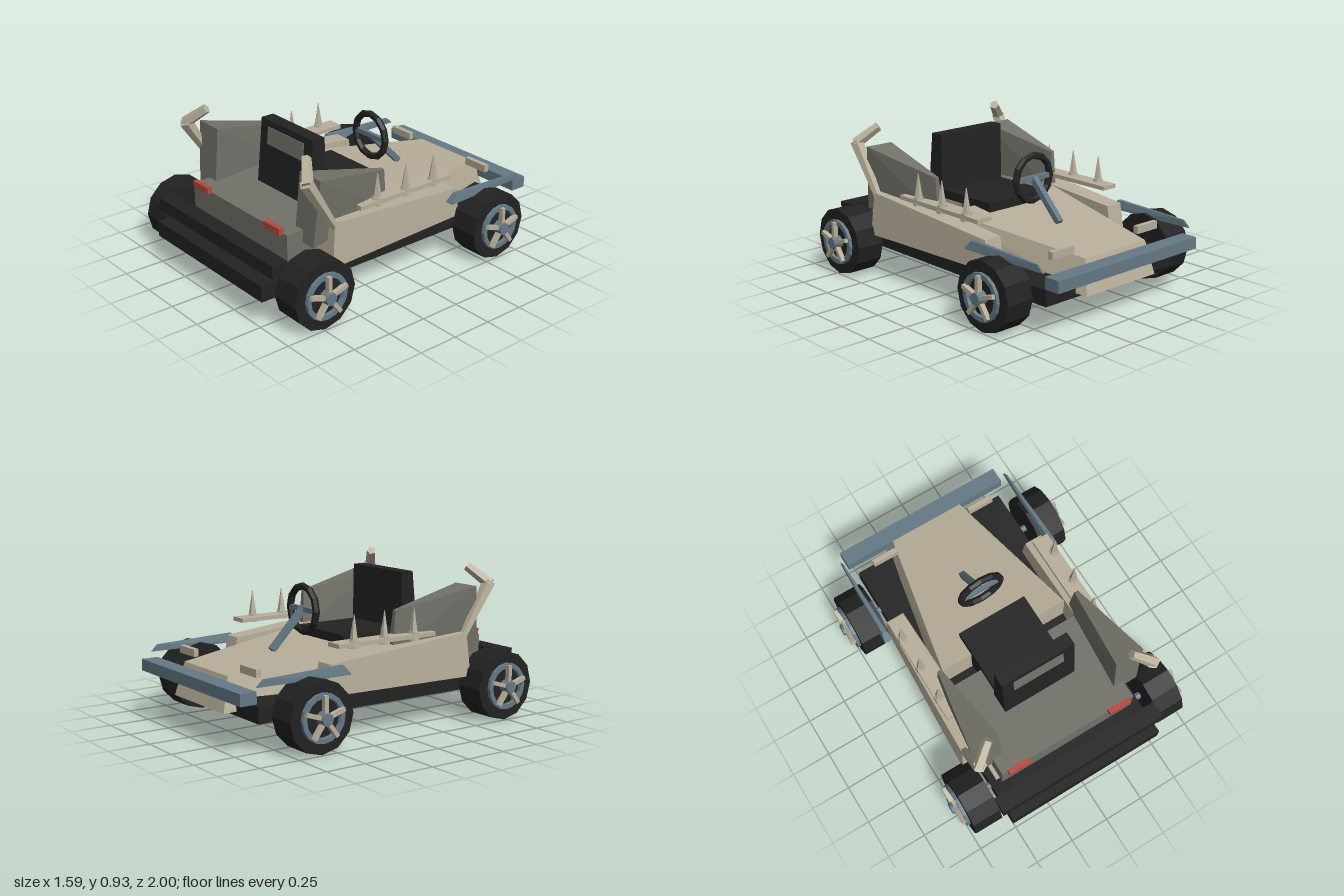
import * as THREE from 'three';
import { ConvexGeometry } from 'three/addons/geometries/ConvexGeometry.js';

export function createModel() {
  const model = new THREE.Group();
  const mat = (name, color) => {
    const m = new THREE.MeshStandardMaterial({ color, flatShading: true });
    m.name = name;
    return m;
  };
  const bone = mat('bone', 0xb8af9a);
  const grey = mat('grey', 0x72726a);
  const black = mat('black', 0x222222);
  const steel = mat('steel blue', 0x647985);
  const red = mat('red', 0xb54a40);

  const add = (name, geo, material, parent = model) => {
    const mesh = new THREE.Mesh(geo, material);
    mesh.name = name;
    parent.add(mesh);
    return mesh;
  };
  // Box given by its extents on each axis
  const box = (name, material, [x0, x1], [y0, y1], [z0, z1]) => {
    const lo = Math.min(x0, x1), hi = Math.max(x0, x1);
    const geo = new THREE.BoxGeometry(hi - lo, y1 - y0, z1 - z0);
    geo.translate((lo + hi) / 2, (y0 + y1) / 2, (z0 + z1) / 2);
    return add(name, geo, material);
  };
  // Faceted solid from its corners, optionally mirrored by s
  const hull = (name, material, corners, s = 1) =>
    add(name, new ConvexGeometry(corners.map(([x, y, z]) => new THREE.Vector3(s * x, y, z))), material);
  // Tapered rod between two points
  const rod = (name, material, a, b, r0, r1, sides) => {
    const p = new THREE.Vector3(...a), q = new THREE.Vector3(...b);
    const d = q.clone().sub(p);
    const mesh = add(name, new THREE.CylinderGeometry(r1, r0, d.length(), sides), material);
    mesh.position.copy(p).add(q).multiplyScalar(0.5);
    mesh.quaternion.setFromUnitVectors(new THREE.Vector3(0, 1, 0), d.normalize());
    return mesh;
  };

  // Chassis and bumpers
  box('chassis', black, [-0.52, 0.52], [0.165, 0.262], [-0.86, 1]);
  box('tailBumper', black, [-0.56, 0.56], [0.305, 0.385], [0.85, 0.955]);
  box('noseBumper', steel, [-0.565, 0.565], [0.29, 0.36], [-1, -0.897]);

  // Tapered nose and tail body
  hull('nose', bone, [-1, 1].flatMap((s) => [
    [s * 0.245, 0.385, -0.885], [s * 0.28, 0.185, -0.935],
    [s * 0.43, 0.485, 0.05], [s * 0.46, 0.255, 0.05],
  ]));
  box('tailFloor', bone, [-0.48, 0.48], [0.262, 0.3], [0.17, 0.74]);
  box('tailBody', grey, [-0.457, 0.457], [0.3, 0.473], [0.16, 0.775]);

  // Seat with tapered backrest and inset panel
  box('seatCushion', black, [-0.23, 0.23], [0.3, 0.525], [-0.09, 0.36]);
  hull('seatBack', black, [-1, 1].flatMap((s) => [
    [s * 0.243, 0.868, 0.337], [s * 0.243, 0.868, 0.42],
    [s * 0.243, 0.46, 0.33], [s * 0.243, 0.46, 0.462],
  ]));
  const panel = add('seatPanel', new THREE.BoxGeometry(0.336, 0.106, 0.008), grey);
  panel.position.set(-0.002, 0.777, 0.431);
  panel.rotation.x = -0.103;

  // Steering
  const steering = add('steeringWheel', new THREE.TorusGeometry(0.137, 0.022, 6, 12), black);
  steering.position.set(0, 0.665, -0.215);
  box('steeringSpoke', steel, [-0.13, 0.13], [0.65, 0.68], [-0.23, -0.205]);
  const column = rod('steeringColumn', steel, [0, 0.665, -0.22], [0, 0.44, -0.44], 0.026, 0.026, 4);
  column.rotateY(Math.PI / 4);

  for (const s of [-1, 1]) {
    // Side pod
    hull('sidePod', bone, [
      [0.43, 0.53, 0.55], [0.595, 0.53, 0.55], [0.43, 0.265, 0.575], [0.61, 0.265, 0.575],
      [0.44, 0.445, -0.41], [0.555, 0.445, -0.41], [0.44, 0.265, -0.44], [0.56, 0.265, -0.44],
    ], s);

    // Spiked rail
    box('spikeRail', bone, [s * 0.46, s * 0.565], [0.528, 0.553], [-0.358, 0.337]);
    for (const z of [-0.235, -0.02, 0.195]) {
      rod('spikeBase', bone, [s * 0.537, 0.515, z], [s * 0.537, 0.565, z], 0.035, 0.03, 6);
      rod('spike', bone, [s * 0.537, 0.555, z], [s * 0.537, 0.71, z], 0.027, 0.002, 5);
    }

    // Wedge-shaped rear fin
    hull('rearFin', grey, [
      [0.46, 0.69, 0.1], [0.485, 0.69, 0.1], [0.44, 0.44, 0.08], [0.485, 0.44, 0.08],
      [0.395, 0.798, 0.635], [0.58, 0.798, 0.635], [0.39, 0.4, 0.67], [0.555, 0.4, 0.67],
    ], s);

    // Bent horn
    rod('hornLower', bone, [s * 0.575, 0.48, 0.525], [s * 0.58, 0.815, 0.735], 0.022, 0.042, 5);
    rod('hornUpper', bone, [s * 0.59, 0.805, 0.735], [s * 0.475, 0.908, 0.652], 0.036, 0.03, 5);

    // Rail from pod to nose bumper
    hull('frontRail', steel, [
      [0.57, 0.39, -0.315], [0.627, 0.39, -0.315], [0.585, 0.445, -0.36], [0.615, 0.445, -0.36],
      [0.592, 0.39, -0.92], [0.602, 0.39, -0.92], [0.592, 0.43, -0.877], [0.602, 0.43, -0.877],
    ], s);

    // Lamps
    box('noseLamp', bone, [s * 0.26, s * 0.43], [0.4, 0.445], [-0.815, -0.783]);
    box('tailLamp', red, [s * 0.275, s * 0.42], [0.465, 0.505], [0.77, 0.802]);

    // Wheels: local +y points outwards
    for (const z of [0.735, -0.594]) {
      const wheel = new THREE.Group();
      wheel.name = 'wheel';
      wheel.position.set(s * 0.65, 0.208, z);
      wheel.rotation.z = -s * Math.PI / 2;
      model.add(wheel);
      add('tyre', new THREE.CylinderGeometry(0.207, 0.207, 0.18, 12), black, wheel);
      const rim = [[0.108, 0.085], [0.142, 0.085], [0.14, 0.11], [0.112, 0.11], [0.108, 0.085]];
      add('rim', new THREE.LatheGeometry(rim.map((p) => new THREE.Vector2(...p)), 16), steel, wheel);
      add('hub', new THREE.CylinderGeometry(0.036, 0.042, 0.06, 10).translate(0, 0.117, 0), steel, wheel);
      for (let i = 0; i < 5; i++) {
        const geo = new THREE.BoxGeometry(0.1, 0.03, 0.024);
        geo.translate(-s * 0.08, 0.118, 0).rotateY(i * Math.PI * 0.4);
        add('spoke', geo, bone, wheel);
      }
    }
  }

  // Axles
  for (const z of [0.735, -0.594]) {
    rod('axle', steel, [-0.6, 0.21, z], [0.6, 0.21, z], 0.022, 0.022, 8);
  }
  return model;
}
